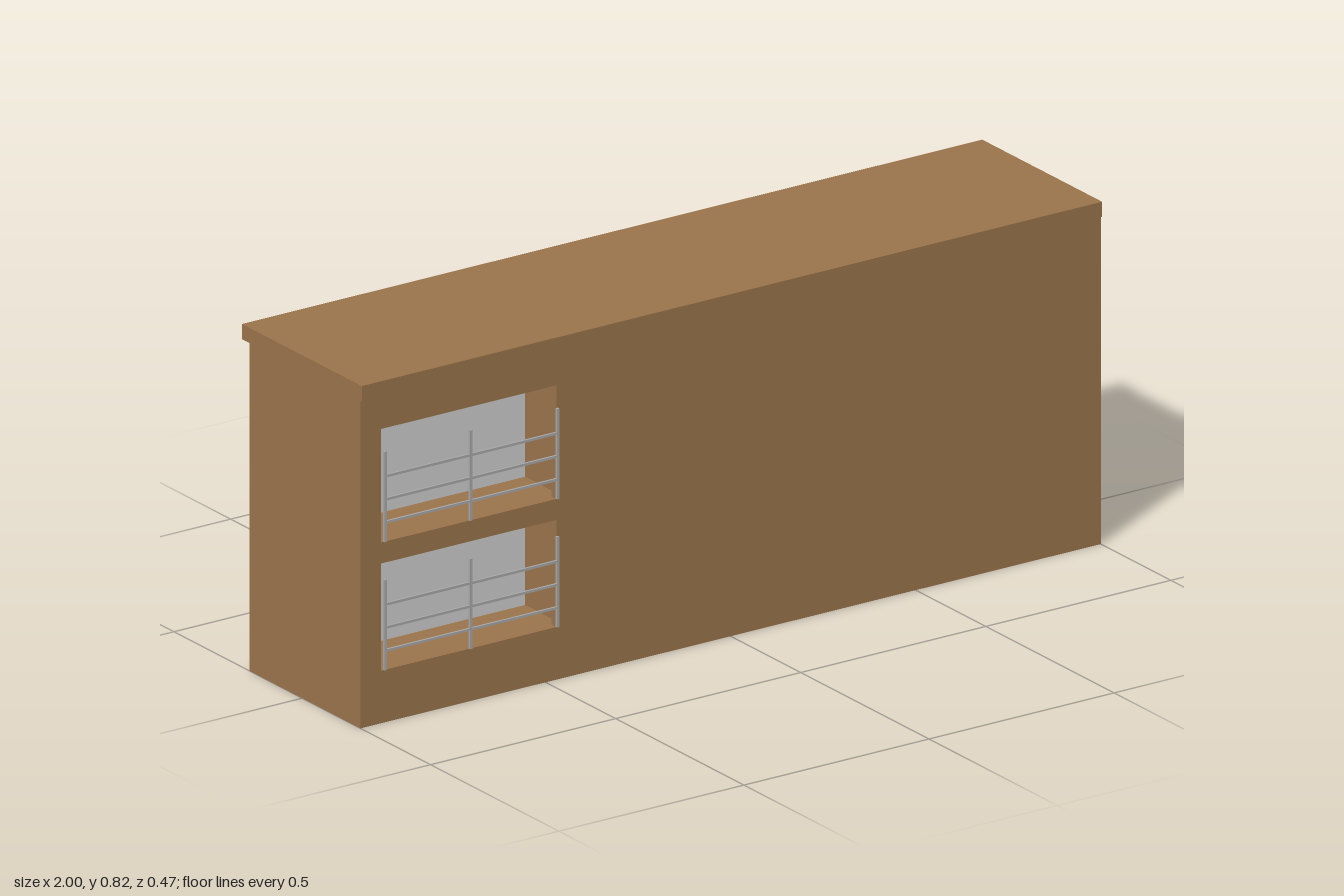
import * as THREE from 'three';

const mat = (name, color) => {
  const m = new THREE.MeshStandardMaterial({ color });
  m.name = name;
  return m;
};

export function createModel() {
  const wood = mat('wood', 0x9b744c);
  const pale = mat('pale backing', 0xcccccc);
  const metal = mat('rail metal', 0xa8a8a8);
  const group = new THREE.Group();

  // Box given by its lower and upper limits on each axis
  const box = (name, material, [x0, x1], [y0, y1], [z0, z1], parent = group) => {
    const mesh = new THREE.Mesh(new THREE.BoxGeometry(x1 - x0, y1 - y0, z1 - z0), material);
    mesh.position.set((x0 + x1) / 2, (y0 + y1) / 2, (z0 + z1) / 2);
    mesh.name = name;
    parent.add(mesh);
    return mesh;
  };

  const H = 0.78, front = 0.227, face = [0.207, front], back = -0.205;
  const openX = [-0.945, -0.47];

  // Carcass
  box('countertop', wood, [-1, 1], [H, 0.816], [-0.235, 0.232]);
  box('rightEndPanel', wood, [-1, -0.97], [0, H], [back, face[0]]);
  box('leftEndPanel', wood, [0.97, 1], [0, H], [back, face[0]]);
  box('backPanel', wood, [-0.97, 0.97], [0, H], [-0.215, back]);
  box('bottomPanel', wood, [-0.97, 0.97], [0.002, 0.03], [back, face[0]]);

  // Front: stiles, rails and the large plain panel
  box('outerStile', wood, [-1, openX[0]], [0, H], face);
  box('innerStile', wood, [openX[1], -0.41], [0, H], face);
  box('frontPanel', wood, [-0.41, 1], [0, H], face);
  box('bottomRail', wood, openX, [0, 0.115], face);
  box('middleRail', wood, openX, [0.38, 0.42], face);
  box('topRail', wood, openX, [0.70, H], face);

  // Shelf niche
  const nicheBack = 0.075;
  box('nicheDivider', wood, [-0.45, -0.42], [0.03, H], [nicheBack, face[0]]);
  box('nicheBacking', pale, [-0.97, -0.45], [0.03, H], [nicheBack - 0.008, nicheBack]);
  for (const y of [0.115, 0.42]) {
    box('shelf', wood, [-0.97, -0.45], [y, y + 0.01], [nicheBack, face[0]]);
    box('shelfLip', wood, openX, [y, y + 0.01], face);
  }

  // Guard rails in front of each shelf
  for (const y of [0.127, 0.432]) {
    const rail = new THREE.Group();
    rail.name = 'guardRail';
    group.add(rail);
    for (const x of [-0.937, -0.706, -0.471]) {
      box('railPost', metal, [x - 0.003, x + 0.003], [y, y + 0.215], [front + 0.001, 0.235], rail);
    }
    for (const dy of [0.046, 0.101, 0.156]) {
      box('railBar', metal, [-0.937, -0.471], [y + dy - 0.003, y + dy + 0.003], [front + 0.002, 0.234], rail);
    }
  }
  return group;
}
